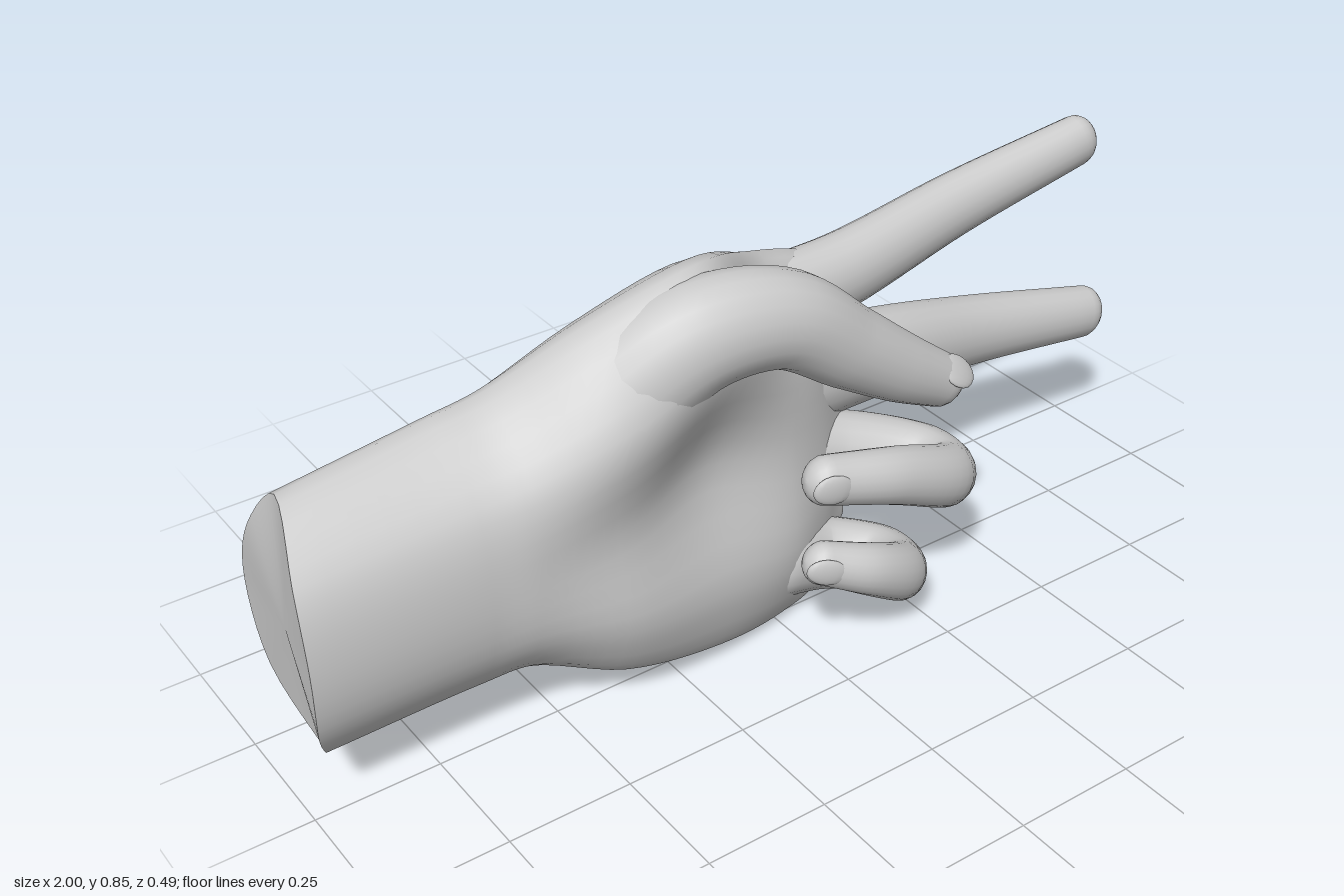
import * as THREE from 'three';

const V = (x, y, z) => new THREE.Vector3(x, y, z);
const material = new THREE.MeshStandardMaterial({ color: 0xcccccc });

// Skin over a list of equal-length closed rings, smooth along, with a flat cap at each end
function loft(rings) {
  const n = rings[0].length, pos = [], idx = [];
  rings.forEach(r => r.forEach(p => pos.push(p.x, p.y, p.z)));
  for (let i = 0; i < rings.length - 1; i++) {
    for (let j = 0; j < n; j++) {
      const a = i * n + j, b = i * n + (j + 1) % n;
      idx.push(a, b, a + n, b, b + n, a + n);
    }
  }
  for (const end of [0, 1]) {
    const ring = end ? rings[rings.length - 1] : rings[0];
    const base = pos.length / 3;
    const c = V(0, 0, 0);
    ring.forEach(p => { c.add(p); pos.push(p.x, p.y, p.z); });
    c.divideScalar(n);
    pos.push(c.x, c.y, c.z);
    for (let j = 0; j < n; j++) {
      const a = base + j, b = base + (j + 1) % n;
      idx.push(...(end ? [a, b, base + n] : [b, a, base + n]));
    }
  }
  const g = new THREE.BufferGeometry();
  g.setAttribute('position', new THREE.Float32BufferAttribute(pos, 3));
  g.setIndex(idx);
  g.computeVertexNormals();
  return g;
}

function add(group, name, geometry) {
  const mesh = new THREE.Mesh(geometry, material);
  mesh.name = name;
  group.add(mesh);
  return mesh;
}

// Cross-section loop: top and bottom as [y, z], palm-side and back depths at set heights
function section(x, top, bottom, front, back) {
  const at = (f, z) => {
    const y = THREE.MathUtils.lerp(bottom[0], top[0], f);
    const cut = x === -1 ? 0.035 * ((y - 0.38) / 0.25) ** 4 + 0.09 * (0.08 - z) : 0; // wrist end
    const slant = Math.max(0, x + 0.15) * 0.25 * (y - 0.4); // knuckle line leans back
    return V(x + cut + slant, y, z);
  };
  const heights = [0.8, 0.5, 0.2];
  return new THREE.CatmullRomCurve3([
    at(1, top[1]), ...heights.map((f, i) => at(f, front[i])),
    at(0, bottom[1]), ...heights.map((f, i) => at(f, back[i])).reverse(),
  ], true);
}

// Wrist, ball of the thumb, hollow of the palm, knuckles
function palmGeometry() {
  const N = 40, M = 42;
  const loops = [
    section(-1, [.63, -.09], [.125, -.03], [.04, .08, .06], [-.18, -.24, -.18]),
    section(-.66, [.67, -.09], [.13, -.03], [.06, .095, .07], [-.18, -.225, -.18]),
    section(-.56, [.69, -.08], [.135, -.02], [.08, .105, .09], [-.18, -.22, -.18]),
    section(-.38, [.79, -.02], [.075, .04], [.125, .1, .125], [-.18, -.23, -.16]),
    section(-.17, [.855, .01], [.03, .04], [.1, .03, .1], [-.19, -.24, -.15]),
    section(.03, [.755, -.13], [.003, 0], [-.01, .02, .06], [-.225, -.24, -.14]),
    section(.14, [.715, -.15], [.025, -.01], [-.06, -.02, .01], [-.215, -.235, -.135]),
    section(.24, [.67, -.15], [.13, -.05], [-.12, -.09, -.06], [-.19, -.2, -.12]),
  ].map(curve => Array.from({ length: N }, (_, j) => curve.getPoint(j / N)));
  const rails = loops[0].map((_, j) => new THREE.CatmullRomCurve3(loops.map(l => l[j])));
  return loft(Array.from({ length: M + 1 }, (_, i) => rails.map(r => r.getPoint(i / M))));
}

// Finger tapering along a path from radius r0 to r1, flattened by depth, with rounded ends and a nail
function addDigit(group, name, path, r0, r1, depth, nailAngle = -Math.PI / 2) {
  const curve = new THREE.CatmullRomCurve3(path.map(p => V(...p)));
  const steps = 8 * (path.length - 1), sides = 20, capSteps = 6;
  const frame = t => {
    const T = curve.getTangent(t);
    const up = V(0, 1, 0).addScaledVector(T, -T.y).normalize();
    return { T, up, side: T.clone().cross(up), c: curve.getPoint(t), r: THREE.MathUtils.lerp(r0, r1, t) };
  };
  const around = (f, angle, s) => f.c.clone()
    .addScaledVector(f.up, Math.cos(angle) * f.r * s)
    .addScaledVector(f.side, Math.sin(angle) * f.r * depth * s);
  const ring = (f, s) => Array.from({ length: sides }, (_, j) => around(f, j / sides * 2 * Math.PI, s));
  const dome = (f, k) => {
    const a = k / capSteps * 1.5;
    const c = f.c.clone().addScaledVector(f.T, Math.sin(a) * f.r * depth);
    return ring({ ...f, c }, Math.cos(a));
  };
  const root = frame(0), tip = frame(1), rings = [];
  for (let k = -capSteps; k < 0; k++) rings.push(dome(root, k));
  for (let i = 0; i <= steps; i++) rings.push(ring(frame(i / steps), 1));
  for (let k = 1; k <= capSteps; k++) rings.push(dome(tip, k));
  add(group, name, loft(rings));

  // Nail: flattened pad lying on the back of the tip
  const nail = add(group, name + 'Nail', new THREE.SphereGeometry(1, 16, 10));
  const D = tip.up.clone().multiplyScalar(Math.cos(nailAngle)).addScaledVector(tip.side, Math.sin(nailAngle));
  const W = D.clone().cross(tip.T);
  nail.quaternion.setFromRotationMatrix(new THREE.Matrix4().makeBasis(tip.T, W, D));
  nail.scale.set(.045, r1 * .62, .01);
  nail.position.copy(around(tip, nailAngle, .88)).addScaledVector(tip.T, .005);
}

export function createModel() {
  const hand = new THREE.Group();
  hand.name = 'hand';
  add(hand, 'palmAndWrist', palmGeometry());

  // Two outstretched fingers
  addDigit(hand, 'indexFinger',
    [[.05, .62, -.14], [.27, .635, -.145], [.58, .685, -.162], [.885, .745, -.145]], .094, .055, .82);
  addDigit(hand, 'middleFinger',
    [[.05, .46, -.12], [.33, .43, -.135], [.63, .372, -.16], [.945, .32, -.145]], .115, .059, .82);

  // Two fingers curled over the palm
  addDigit(hand, 'ringFinger',
    [[.05, .31, -.1], [.22, .28, -.07], [.355, .255, .03], [.345, .27, .115], [.18, .35, .15], [.03, .388, .13]],
    .09, .05, .9);
  addDigit(hand, 'littleFinger',
    [[.02, .135, -.01], [.13, .1, -.005], [.215, .095, .07], [.195, .125, .16], [.09, .195, .195], [-.005, .235, .17]],
    .085, .044, .9);

  // Thumb folded across
  addDigit(hand, 'thumb',
    [[-.36, .63, -.005], [-.2, .74, .05], [-.04, .735, .08], [.1, .638, .095], [.22, .555, .105], [.315, .497, .11]],
    .12, .055, .9, .8);

  return hand;
}
